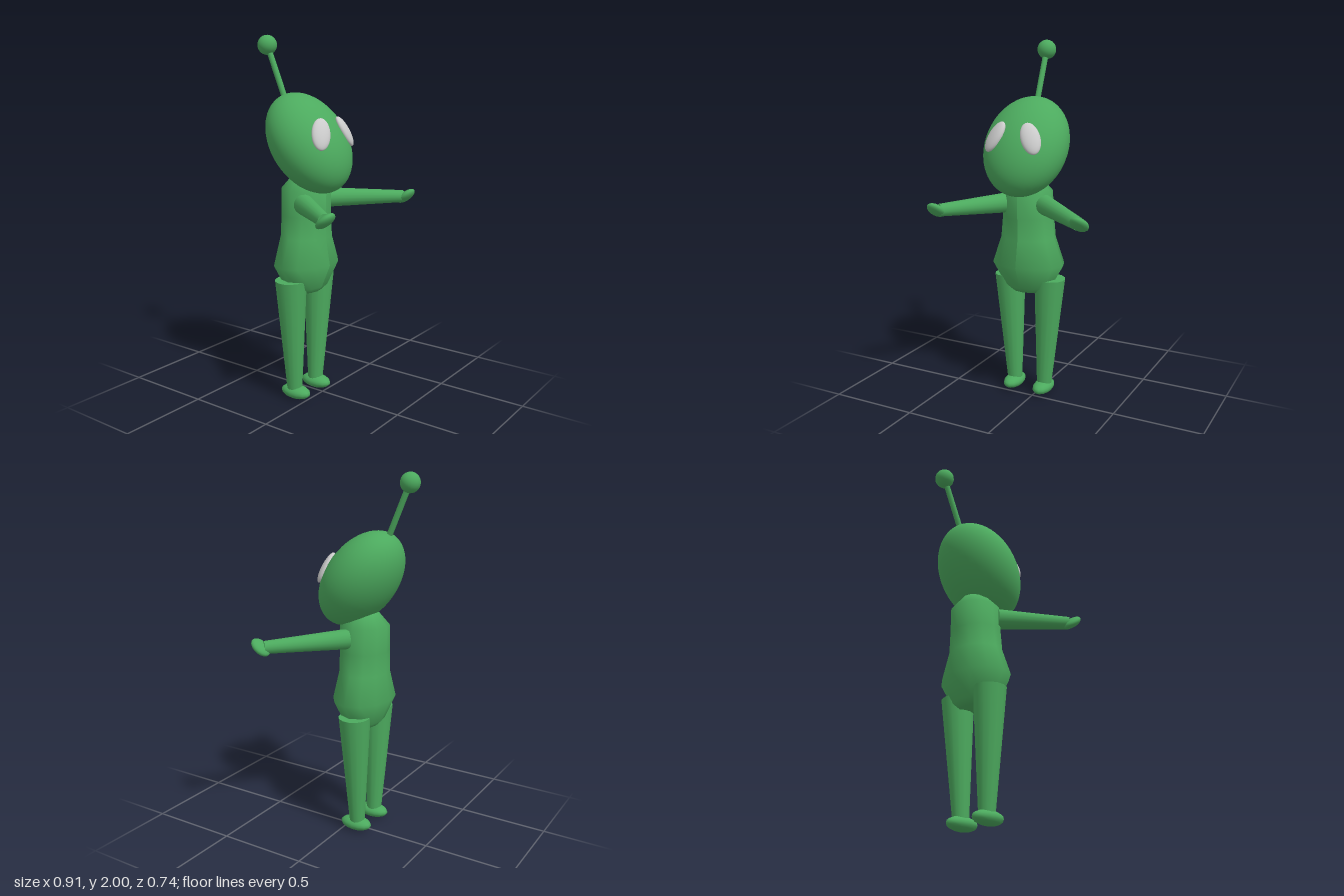
import * as THREE from 'three';

const green = new THREE.MeshStandardMaterial({ color: 0x4caa5e });
const pale = new THREE.MeshStandardMaterial({ color: 0xcccccc });

function add(parent, name, geometry, material = green) {
  const mesh = new THREE.Mesh(geometry, material);
  mesh.name = name;
  parent.add(mesh);
  return mesh;
}

// Ellipsoid with the given half sizes
function ellipsoid(parent, name, center, radii, material = green, w = 32, h = 20) {
  const mesh = add(parent, name, new THREE.SphereGeometry(1, w, h), material);
  mesh.position.set(...center);
  mesh.scale.set(...radii);
  return mesh;
}

// Tapered limb running from a to b
function limb(parent, name, a, b, ra, rb, sides = 14) {
  const from = new THREE.Vector3(...a), to = new THREE.Vector3(...b);
  const dir = to.clone().sub(from);
  const mesh = add(parent, name, new THREE.CylinderGeometry(rb, ra, dir.length(), sides));
  mesh.position.copy(from).add(to).multiplyScalar(0.5);
  mesh.quaternion.setFromUnitVectors(new THREE.Vector3(0, 1, 0), dir.normalize());
  return mesh;
}

export function createModel() {
  const model = new THREE.Group();
  model.name = 'alien';

  // Torso: lathe, narrower from front to back
  const profile = [[0, 0.62], [0.1, 0.62], [0.14, 0.65], [0.213, 0.78], [0.158, 0.93],
    [0.145, 1.05], [0.135, 1.19], [0.075, 1.26], [0, 1.27]];
  const torso = add(model, 'torso',
    new THREE.LatheGeometry(profile.map(p => new THREE.Vector2(...p)), 12));
  // Depth grows from the hips to the shoulders
  const pos = torso.geometry.attributes.position;
  for (let i = 0; i < pos.count; i++) {
    const t = THREE.MathUtils.clamp((pos.getY(i) - 0.78) / 0.4, 0, 1);
    pos.setZ(i, pos.getZ(i) * (0.75 + 0.25 * t));
  }
  torso.geometry.computeVertexNormals();
  torso.position.set(-0.057, 0, -0.068);

  // Head, tilted backwards, with its eyes
  const head = new THREE.Group();
  head.name = 'head';
  head.position.set(-0.058, 1.437, -0.045);
  head.rotation.x = -0.63;
  model.add(head);
  ellipsoid(head, 'skull', [0, 0, 0], [0.237, 0.295, 0.186], green, 40, 28);
  for (const s of [-1, 1]) {
    const eye = ellipsoid(head, s < 0 ? 'rightEye' : 'leftEye',
      [s * 0.105, -0.042, 0.162], [0.052, 0.09, 0.026], pale);
    eye.rotation.set(0.1, s * 0.4, s * 0.52, 'YXZ');
  }

  // Antenna
  limb(model, 'antennaStalk', [-0.071, 1.61, -0.175], [-0.071, 1.95, -0.318], 0.016, 0.016, 10);
  ellipsoid(model, 'antennaBall', [-0.071, 1.947, -0.318], [0.053, 0.053, 0.053], green, 20, 14);

  // Arms reaching forwards and flat, tipped-up hands
  const arms = [
    ['right', [-0.165, 1.123, 0.0], [-0.398, 1.115, 0.305]],
    ['left', [0.055, 1.128, -0.03], [0.395, 1.116, 0.272]],
  ];
  for (const [side, shoulder, wrist] of arms) {
    limb(model, side + 'Arm', shoulder, wrist, 0.055, 0.034, 16);
    const out = side === 'left' ? 0.01 : -0.012;
    const hand = ellipsoid(model, side + 'Hand',
      [wrist[0] + out, 1.117, wrist[2] + 0.014], [0.049, 0.025, 0.06], green, 16, 12);
    hand.rotation.x = -0.7;
  }

  // Legs and flat oval feet
  for (const [side, hipX, ankleX] of [['right', -0.18, -0.153], ['left', 0.07, 0.037]]) {
    limb(model, side + 'Leg', [hipX, 0.7, -0.08], [ankleX, 0.05, -0.08], 0.088, 0.042);
    ellipsoid(model, side + 'Foot', [ankleX, 0.042, -0.073], [0.054, 0.038, 0.094], green, 14, 10);
  }

  return model;
}
